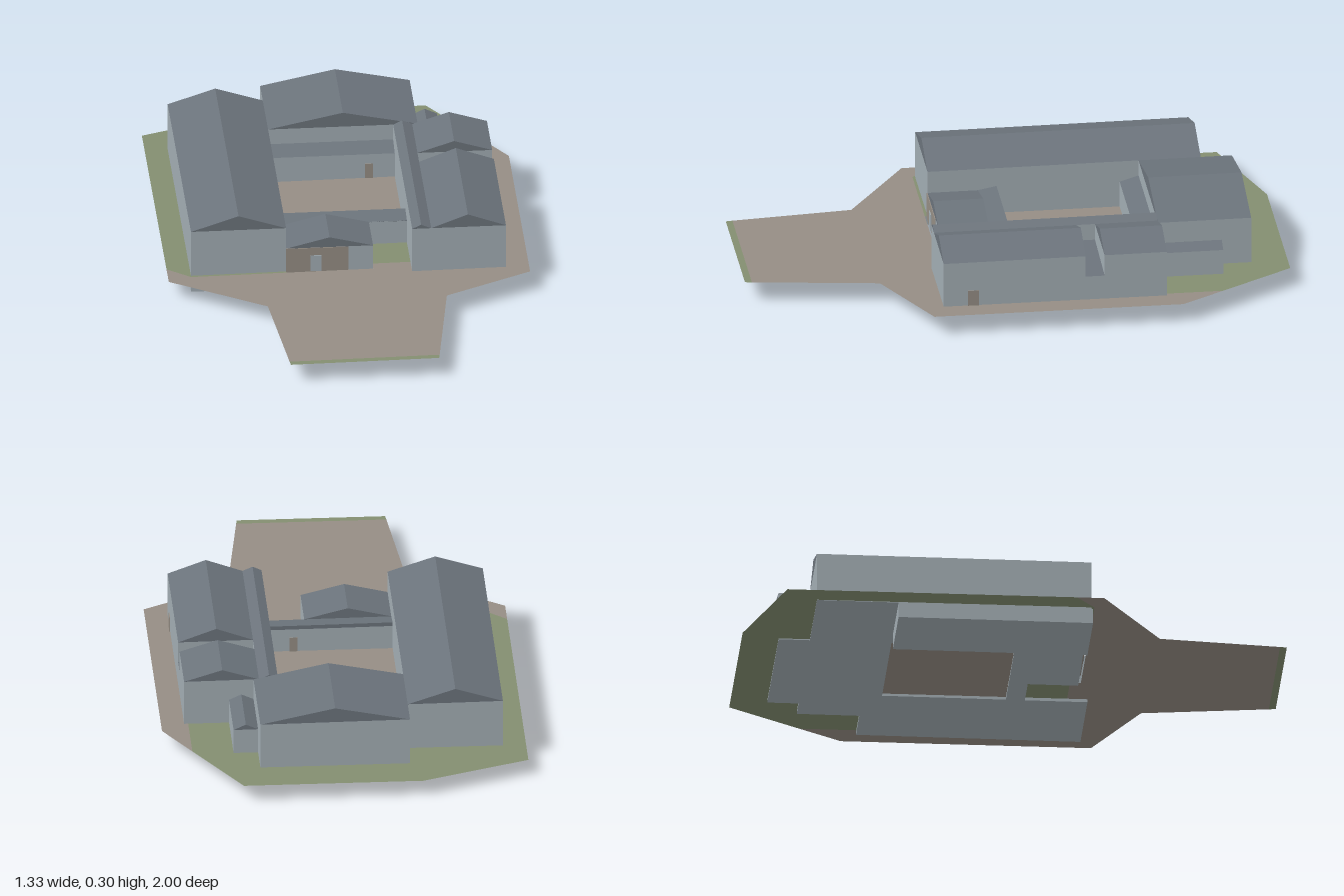
import * as THREE from 'three';

const material = (name, color, side = THREE.FrontSide) => {
  const m = new THREE.MeshStandardMaterial({ color, side });
  m.name = name;
  return m;
};

export function createModel() {
  const model = new THREE.Group();
  const wall = material('blue grey wall', 0xa2adb3);
  const slate = material('slate roof', 0x6b737b);
  const paving = material('paving', 0x958d84, THREE.DoubleSide);
  const grass = material('grass', 0x838e70, THREE.DoubleSide);
  const BASE = 0.058;

  const add = (name, geometry, mat) => {
    const mesh = new THREE.Mesh(geometry, mat);
    mesh.name = name;
    model.add(mesh);
    return mesh;
  };
  const box = (name, x0, x1, y0, y1, z0, z1, mat = wall) =>
    add(name, new THREE.BoxGeometry(x1 - x0, y1 - y0, z1 - z0)
      .translate((x0 + x1) / 2, (y0 + y1) / 2, (z0 + z1) / 2), mat);
  const shapeOf = (points) => new THREE.Shape(points.map(([x, y]) => new THREE.Vector2(x, y)));
  // Roof prism: (x, y) cross-section run from z0 to z1
  const roof = (name, points, z0, z1) =>
    add(name, new THREE.ExtrudeGeometry(shapeOf(points), { depth: z1 - z0, bevelEnabled: false })
      .translate(0, 0, z0), slate);
  // Lean-to roof falling towards +z
  const leanTo = (name, x0, x1, z0, z1, low, high) =>
    add(name, new THREE.ExtrudeGeometry(
      shapeOf([[-z1, low - 0.002], [-z0, low - 0.002], [-z0, high], [-z1, low]]),
      { depth: x1 - x0, bevelEnabled: false }).rotateY(Math.PI / 2).translate(x0, 0, 0), slate);
  // Walls with a gabled roof whose ridge runs along z
  const block = (name, x0, x1, z0, z1, eave, ridge, ridgeX = (x0 + x1) / 2) => {
    box(name + 'Walls', x0, x1, BASE, eave, z0, z1);
    roof(name + 'Roof', [[x0, eave], [x1, eave], [ridgeX, ridge]], z0, z1);
  };

  // Gently sloping ground, split into lawn and paving
  const ground = (name, points, mat) => {
    const g = new THREE.ShapeGeometry(shapeOf(points.map(([x, z]) => [x, -z]))).rotateX(-Math.PI / 2);
    const p = g.attributes.position;
    for (let i = 0; i < p.count; i++) p.setY(i, 0.067 + 0.008 * p.getX(i) + 0.004 * p.getZ(i));
    g.computeVertexNormals();
    return add(name, g, mat);
  };
  ground('backLawn', [[-0.665, -0.865], [-0.27, -1], [0.39, -1], [0.56, -0.73], [0.56, -0.46],
    [-0.23, -0.46], [-0.23, 0.27], [-0.58, 0.27], [-0.665, 0.2]], grass);
  ground('forecourt', [[-0.665, 0.2], [-0.58, 0.27], [0.09, 0.27], [0.09, 0.23], [0.23, 0.23],
    [0.56, 0.23], [0.56, -0.73], [0.66, -0.57], [0.66, 0.35], [0.34, 0.51], [0.274, 0.975],
    [-0.278, 0.975], [-0.32, 0.53], [-0.665, 0.3]], paving);
  ground('courtyard', [[-0.23, -0.46], [0.25, -0.46], [0.25, 0.07], [-0.23, 0.07]], paving);
  ground('entranceLawn', [[0.09, 0.07], [0.23, 0.07], [0.23, 0.23], [0.09, 0.23]], grass);
  ground('driveEndVerge', [[-0.278, 0.975], [0.274, 0.975], [0.27, 1], [-0.275, 1]], grass);

  // Main wings around the courtyard
  block('westWing', -0.58, -0.23, -0.75, 0.26, 0.245, 0.302);
  box('basement', -0.58, -0.30, 0, BASE, -0.45, 0.265);
  block('northWing', -0.23, 0.32, -0.865, -0.52, 0.245, 0.302, 0.045);
  block('eastWingFront', 0.30, 0.575, -0.22, 0.305, 0.245, 0.296, 0.435);
  block('eastWingBack', 0.30, 0.575, -0.52, -0.29, 0.245, 0.288, 0.435);
  block('eastCorridor', 0.23, 0.30, -0.52, 0.305, 0.245, 0.261, 0.263);

  // Low link between the two halves of the east wing
  box('eastLinkWalls', 0.30, 0.575, BASE, 0.163, -0.29, -0.22);
  roof('eastLinkRoof', [[0.30, 0.161], [0.575, 0.161], [0.575, 0.163], [0.30, 0.182]], -0.29, -0.22);

  // Low annex in the back corner
  block('cornerAnnex', 0.32, 0.41, -0.75, -0.52, 0.163, 0.184);

  // Galleries along the courtyard ends
  box('northGalleryWalls', -0.23, 0.23, BASE, 0.163, -0.52, -0.45);
  leanTo('northGalleryRoof', -0.23, 0.23, -0.52, -0.45, 0.163, 0.184);
  box('southGalleryWalls', -0.23, 0.23, BASE, 0.16, 0.005, 0.075);
  leanTo('southGalleryRoof', -0.23, 0.23, 0.005, 0.075, 0.16, 0.173);

  // Entrance range with a part-rendered front
  block('entranceRange', -0.23, 0.09, 0.075, 0.26, 0.16, 0.2);
  box('entranceRender', -0.23, 0, BASE, 0.16, 0.258, 0.263, paving);

  // Doors
  box('frontDoor', -0.14, -0.10, 0.066, 0.13, 0.261, 0.266);
  box('eastDoor', 0.573, 0.578, 0.07, 0.132, 0.175, 0.215, paving);
  box('southGalleryDoor', 0.12, 0.15, 0.066, 0.125, 0.002, 0.007, paving);
  box('northGalleryDoor', 0.12, 0.15, 0.066, 0.125, -0.452, -0.447, paving);

  return model;
}
